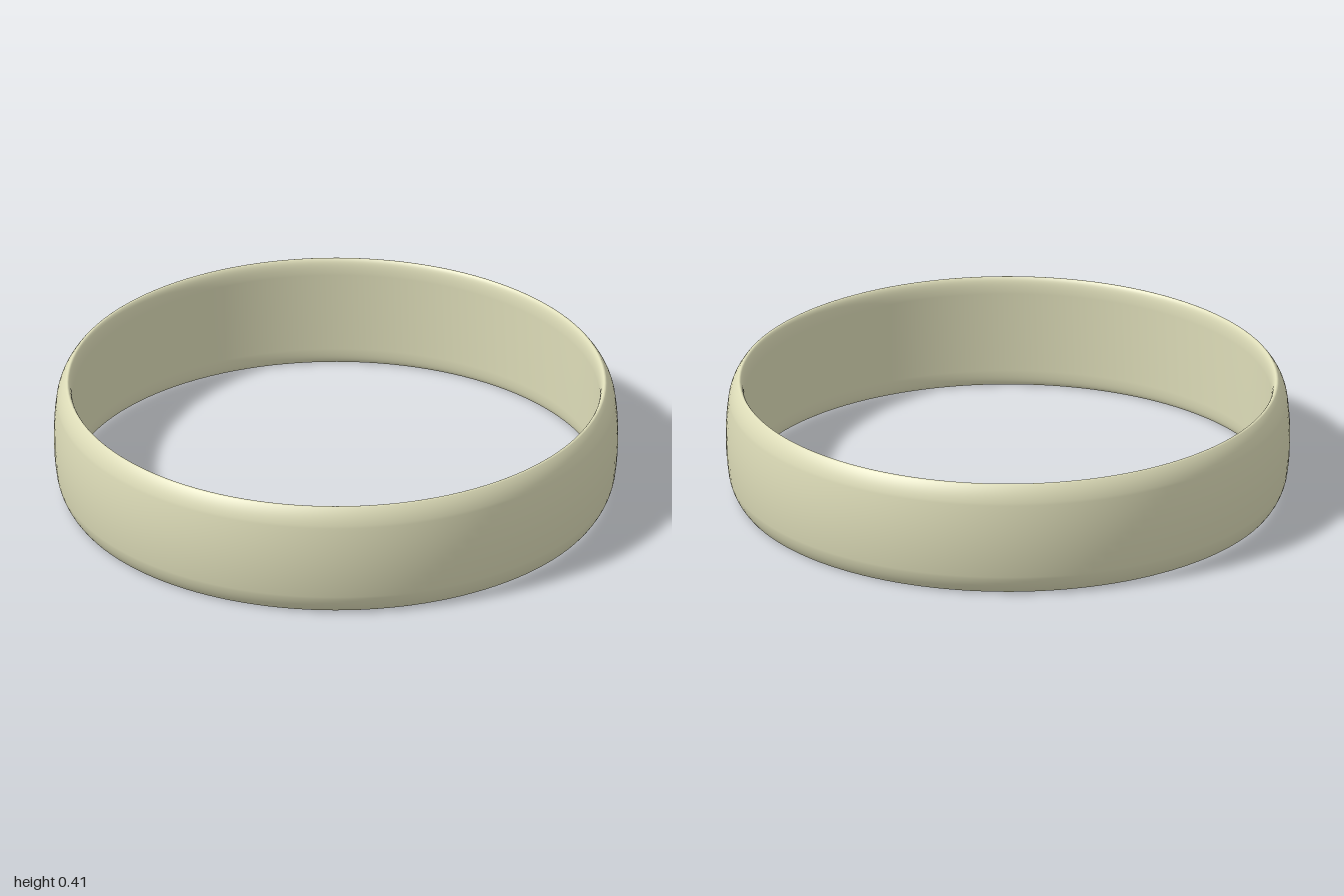
import * as THREE from 'three';

export function createModel() {
  const group = new THREE.Group();
  group.name = 'ring';

  // Band cross-section: domed outside, rounded rims, softly eased inside
  const H = 0.414;
  const section = new THREE.Shape();
  section.moveTo(0.935, H / 2);
  section.lineTo(0.935, 0.06);
  section.quadraticCurveTo(0.936, 0.015, 0.947, 0.003);
  section.quadraticCurveTo(0.952, -0.003, 0.959, 0.003);
  section.quadraticCurveTo(0.982, 0.03, 0.99, 0.07);
  section.quadraticCurveTo(1.01, H / 2, 0.99, H - 0.07);
  section.quadraticCurveTo(0.982, H - 0.03, 0.959, H - 0.003);
  section.quadraticCurveTo(0.952, H + 0.003, 0.947, H - 0.003);
  section.quadraticCurveTo(0.936, H - 0.015, 0.935, H - 0.06);
  section.lineTo(0.935, H / 2);

  const band = new THREE.Mesh(
    new THREE.LatheGeometry(section.getPoints(8), 128),
    new THREE.MeshStandardMaterial({ color: 0xdddcb8 })
  );
  band.name = 'band';
  group.add(band);
  return group;
}
